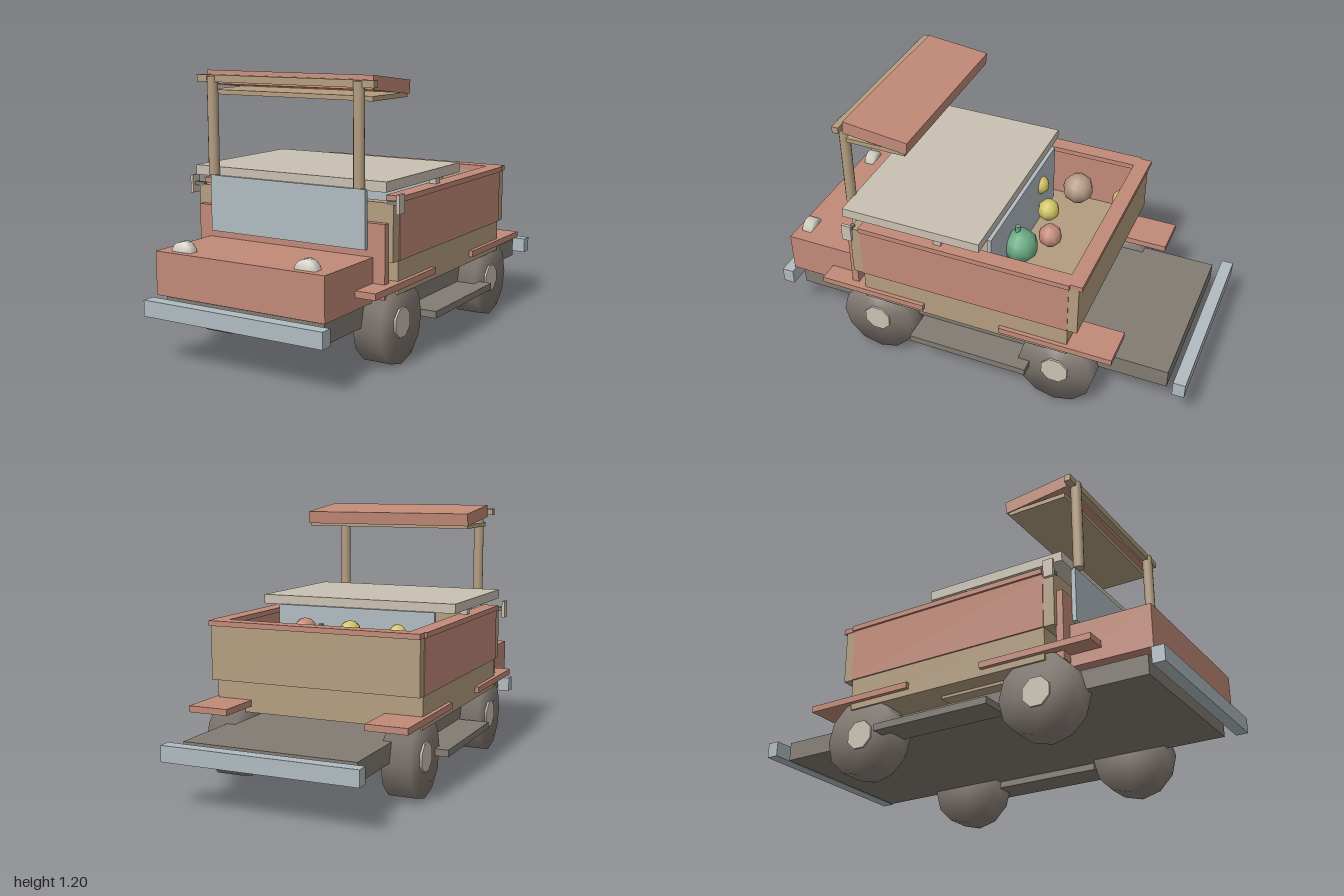
import * as THREE from 'three';
import { mergeVertices } from 'three/addons/utils/BufferGeometryUtils.js';

const mat = (name, color) => {
  const m = new THREE.MeshStandardMaterial({ color });
  m.name = name;
  return m;
};

export function createModel() {
  const red = mat('faded red', 0xc18a78);
  const tan = mat('tan wood', 0xb39d80);
  const cream = mat('cream', 0xc9c0b1);
  const blue = mat('pale blue', 0xb0bbc0);
  const grey = mat('dark grey', 0x827b73);
  const rubber = mat('tyre grey', 0x827972);
  const white = mat('lamp white', 0xd8d4c8);
  const green = mat('green', 0x68a880);
  const yellow = mat('yellow', 0xd0c464);
  const brown = mat('brown', 0xb59a84);

  const model = new THREE.Group();
  model.name = 'truck';

  const add = (name, geo, material) => {
    const mesh = new THREE.Mesh(geo, material);
    mesh.name = name;
    model.add(mesh);
    return mesh;
  };
  // Box given by its extents on each axis
  const box = (name, material, x0, x1, y0, y1, z0, z1) => {
    const mesh = add(name, new THREE.BoxGeometry(x1 - x0, y1 - y0, z1 - z0), material);
    mesh.position.set((x0 + x1) / 2, (y0 + y1) / 2, (z0 + z1) / 2);
    return mesh;
  };
  const wide = (name, material, x, ...yz) => box(name, material, -x, x, ...yz);
  // Box repeated on both sides
  const pair = (name, material, x0, x1, ...yz) => {
    box(name + 'Left', material, x0, x1, ...yz);
    box(name + 'Right', material, -x1, -x0, ...yz);
  };
  // Cylinder whose caps share normals with its side, for a rounded look
  const softCylinder = (r, h, sides) => {
    const g = new THREE.CylinderGeometry(r, r, h, sides);
    g.deleteAttribute('normal');
    g.deleteAttribute('uv');
    const merged = mergeVertices(g);
    merged.computeVertexNormals();
    return merged;
  };

  // Chassis and bumpers
  wide('chassis', grey, 0.39, 0.185, 0.27, -0.91, 0.91);
  wide('frontBumper', blue, 0.44, 0.2, 0.27, 0.945, 1);
  wide('rearBumper', blue, 0.44, 0.2, 0.27, -1, -0.945);
  pair('runningBoard', grey, 0.39, 0.54, 0.155, 0.186, -0.3, 0.268);

  // Hood and cowl
  wide('hood', red, 0.415, 0.283, 0.47, 0.56, 0.945);
  wide('cowl', red, 0.47, 0.3, 0.61, 0.555, 0.588);

  // Fenders
  pair('frontFender', red, 0.32, 0.507, 0.335, 0.363, 0.21, 0.725);
  pair('rearFender', red, 0.32, 0.507, 0.335, 0.363, -0.685, -0.16);

  // Body tub and upper walls
  wide('cabFloor', tan, 0.4, 0.295, 0.31, -0.05, 0.45);
  wide('tub', tan, 0.488, 0.307, 0.45, -0.475, 0.51);
  wide('rearWall', tan, 0.492, 0.45, 0.692, -0.52, -0.47);
  wide('frontWall', tan, 0.492, 0.45, 0.692, 0.51, 0.56);
  pair('sidePanel', red, 0.44, 0.495, 0.45, 0.692, -0.475, 0.51);

  // Rim along the top of the walls
  pair('sideRim', red, 0.43, 0.505, 0.692, 0.715, -0.48, 0.51);
  wide('rearRim', red, 0.495, 0.692, 0.715, -0.535, -0.465);

  // Cab roof and glass
  wide('roof', cream, 0.48, 0.74, 0.783, -0.062, 0.595);
  wide('windshield', blue, 0.39, 0.5, 0.746, 0.588, 0.608);
  wide('rearWindow', blue, 0.39, 0.45, 0.742, -0.08, -0.062);
  pair('roofSpacer', cream, 0.44, 0.475, 0.715, 0.74, 0.12, 0.155);

  // Raised canopy over the windshield
  for (const s of [-1, 1]) {
    add('canopyPost', new THREE.CylinderGeometry(0.024, 0.024, 0.425, 12), tan)
      .position.set(s * 0.365, 0.963, 0.613);
  }
  wide('canopyBar', tan, 0.44, 1.15, 1.18, 0.595, 0.625);
  const canopy = wide('canopy', red, 0.415, -0.029, 0.029, -0.152, 0.152);
  canopy.position.set(0, 1.153, 0.438);
  canopy.rotation.x = -0.11;
  wide('canopyLining', tan, 0.41, 1.095, 1.115, 0.3, 0.58);

  // Wheels with hub caps
  for (const s of [-1, 1]) {
    for (const z of [0.465, -0.42]) {
      const wheel = add('wheel', softCylinder(0.177, 0.128, 12), rubber);
      wheel.position.set(s * 0.415, 0.177, z);
      wheel.rotation.z = Math.PI / 2;
      const hub = add('hubCap', new THREE.CylinderGeometry(0.066, 0.066, 0.02, 8), cream);
      hub.position.set(s * 0.478, 0.18, z);
      hub.rotation.set(Math.PI / 8, 0, Math.PI / 2);
    }
    // Headlights sunk into the hood
    const lamp = add('headlight', softCylinder(0.05, 0.045, 16), white);
    lamp.position.set(s * 0.305, 0.463, 0.893);
    lamp.rotation.x = Math.PI / 2;
  }

  // Side mirrors
  pair('mirrorArm', grey, 0.465, 0.52, 0.685, 0.702, 0.545, 0.562);
  pair('mirror', cream, 0.515, 0.529, 0.653, 0.732, 0.532, 0.578);

  // Produce piled in the bed: colour, radius, x, y, z
  const produce = [
    [yellow, 0.057, -0.4, 0.52, -0.437],
    [brown, 0.076, -0.395, 0.53, -0.205],
    [yellow, 0.052, -0.028, 0.65, -0.187],
    [yellow, 0.046, -0.215, 0.635, -0.073],
    [red, 0.059, 0.345, 0.53, -0.395],
    [red, 0.054, 0.157, 0.66, -0.265],
    [green, 0.082, 0.157, 0.56, -0.125],
    [brown, 0.065, 0.345, 0.53, -0.1],
  ];
  for (const [material, r, x, y, z] of produce) {
    add('produce', new THREE.SphereGeometry(r, 8, 6), material).position.set(x, y, z);
  }
  add('produceStem', new THREE.CylinderGeometry(0.012, 0.012, 0.03, 8), green)
    .position.set(0.157, 0.65, -0.11);

  return model;
}
